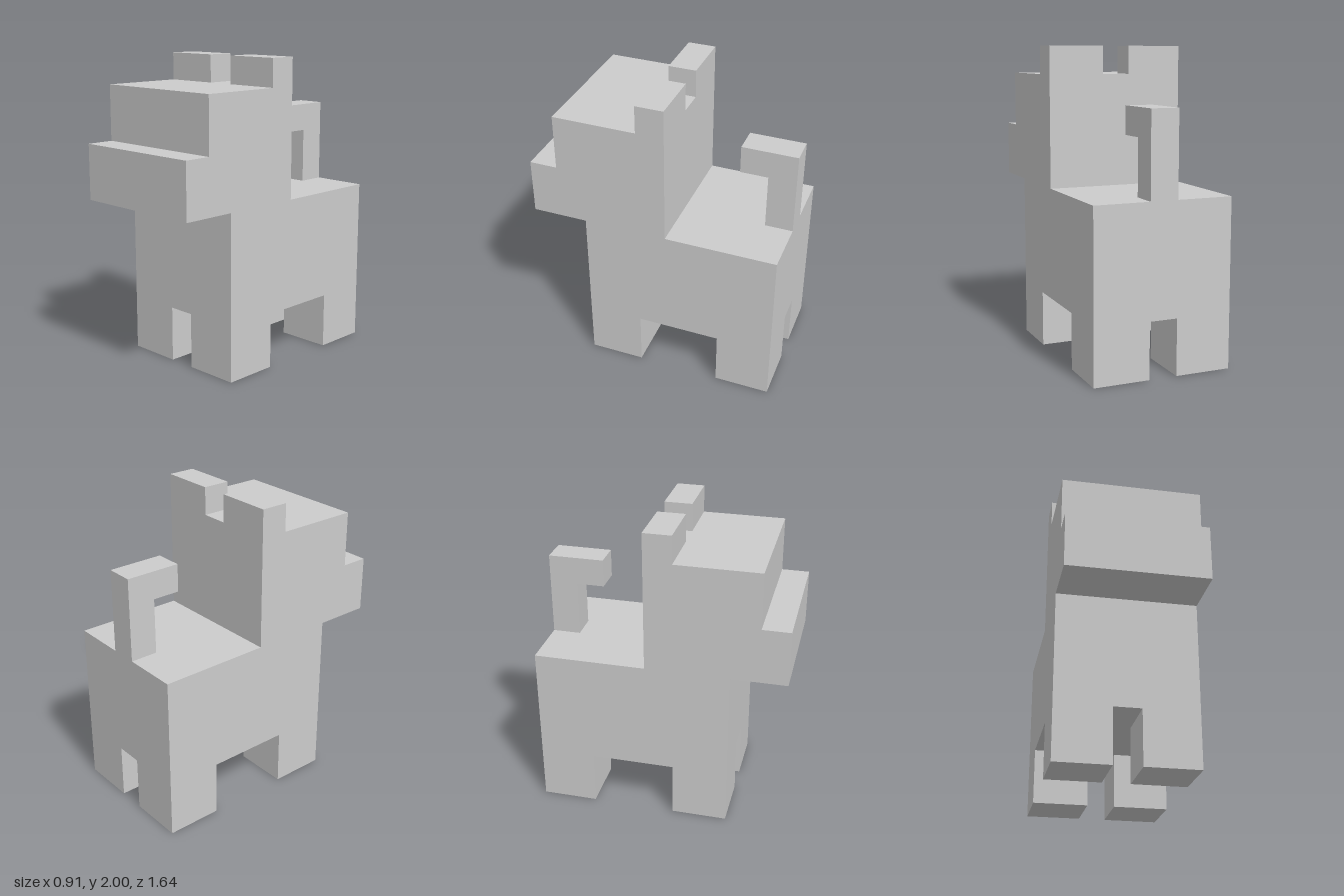
import * as THREE from 'three';

const U = 2 / 11; // one block; all sizes below are in blocks

export function createModel() {
  const model = new THREE.Group();
  model.name = 'blockDog';
  const material = new THREE.MeshStandardMaterial({ color: 0xcccccc, flatShading: true });

  const add = (name, geometry) => {
    const mesh = new THREE.Mesh(geometry.scale(U, U, U), material);
    mesh.name = name;
    model.add(mesh);
  };

  // Box given by its lowest and highest corners
  const box = (name, [x0, y0, z0], [x1, y1, z1]) => add(name,
    new THREE.BoxGeometry(x1 - x0, y1 - y0, z1 - z0)
      .translate((x0 + x1) / 2, (y0 + y1) / 2, (z0 + z1) / 2));

  // Side outline of [z, y] points, extruded across x and centred
  const sideProfile = (name, width, points) => {
    const shape = new THREE.Shape(points.map(([z, y]) => new THREE.Vector2(z, y)));
    add(name, new THREE.ExtrudeGeometry(shape, { depth: width, bevelEnabled: false })
      .translate(0, 0, -width / 2).rotateY(-Math.PI / 2));
  };

  // Torso, head and snout share one continuous side outline
  sideProfile('bodyAndHead', 5, [
    [-4.5, 2], [2.5, 2], [2.5, 6], [4.5, 6], [4.5, 8], [3.5, 8],
    [3.5, 10], [-0.5, 10], [-0.5, 6], [-4.5, 6],
  ]);

  // Hooked tail
  sideProfile('tail', 1, [
    [-4.5, 6], [-3.5, 6], [-3.5, 8], [-2.5, 8], [-2.5, 9], [-4.5, 9],
  ]);

  // Paired legs and ears
  for (const [side, x] of [['left', 0.5], ['right', -2.5]]) {
    box(side + 'FrontLeg', [x, 0, 0.5], [x + 2, 2, 2.5]);
    box(side + 'BackLeg', [x, 0, -4.5], [x + 2, 2, -2.5]);
    box(side + 'Ear', [x, 10, -0.5], [x + 2, 11, 0.5]);
  }

  return model;
}
